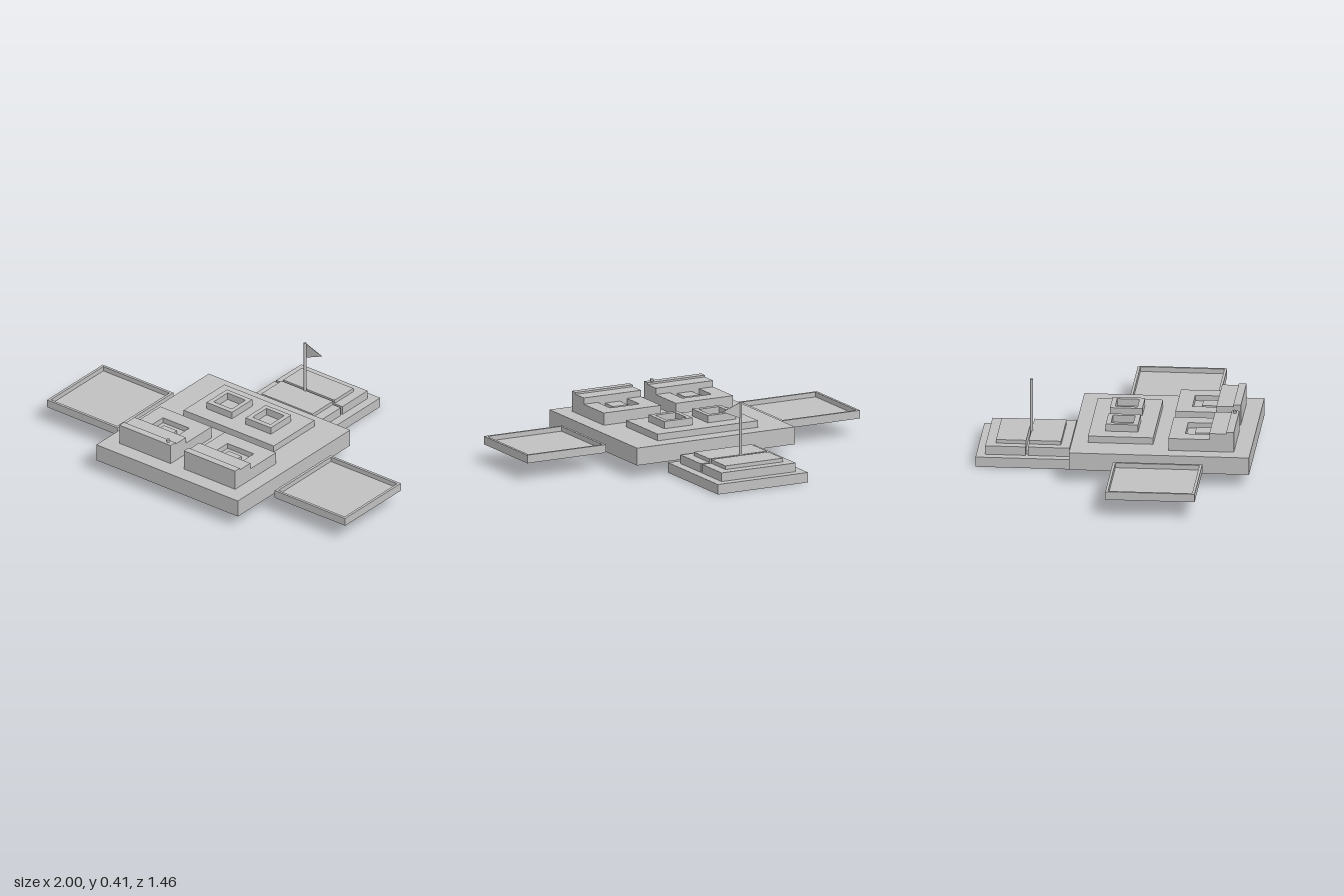
import * as THREE from 'three';

const stone = new THREE.MeshStandardMaterial({ color: 0xc0c0c0 });
stone.name = 'plain grey';

// Box from its extents
function box(parent, name, x0, x1, y0, y1, z0, z1) {
  const mesh = new THREE.Mesh(new THREE.BoxGeometry(x1 - x0, y1 - y0, z1 - z0), stone);
  mesh.position.set((x0 + x1) / 2, (y0 + y1) / 2, (z0 + z1) / 2);
  mesh.name = name;
  parent.add(mesh);
  return mesh;
}

function rect(Type, x0, x1, z0, z1) {
  return new Type([[x0, -z1], [x1, -z1], [x1, -z0], [x0, -z0]].map(([x, y]) => new THREE.Vector2(x, y)));
}

// Rectangular slab with a rectangular opening; outer and inner are [x0, x1, z0, z1]
function frame(parent, name, outer, inner, y0, y1) {
  const shape = rect(THREE.Shape, ...outer);
  shape.holes.push(rect(THREE.Path, ...inner));
  const geo = new THREE.ExtrudeGeometry(shape, { depth: y1 - y0, bevelEnabled: false });
  geo.rotateX(-Math.PI / 2);
  const mesh = new THREE.Mesh(geo, stone);
  mesh.position.y = y0;
  mesh.name = name;
  parent.add(mesh);
}

function group(parent, name) {
  const g = new THREE.Group();
  g.name = name;
  parent.add(g);
  return g;
}

export function createModel() {
  const model = new THREE.Group();
  model.name = 'courtyardModel';

  // Main platform and its raised terrace
  box(model, 'mainPlatform', -0.477, 0.472, 0.07, 0.164, -0.22, 0.73);
  box(model, 'terrace', -0.304, 0.3, 0.164, 0.2, -0.134, 0.21);

  // Two square basins on the terrace
  for (const x of [-0.134, 0.127]) {
    frame(model, 'basin', [x - 0.085, x + 0.085, -0.048, 0.123],
      [x - 0.06, x + 0.06, -0.022, 0.095], 0.2, 0.239);
  }

  // Two front blocks: notched rear deck, stepped front parapet
  for (const x of [-0.22, 0.213]) {
    const block = group(model, 'frontBlock');
    const x0 = x - 0.172, x1 = x + 0.172;
    box(block, 'blockBase', x0, x1, 0.164, 0.2, 0.297, 0.643);
    frame(block, 'notchedDeck', [x0, x1, 0.297, 0.643],
      [x - 0.088, x + 0.088, 0.38, 0.514], 0.2, 0.23);
    box(block, 'notchPlinth', x - 0.044, x + 0.044, 0.2, 0.221, 0.427, 0.514);
    box(block, 'parapetStep', x0, x1, 0.23, 0.264, 0.514, 0.643);
    box(block, 'parapetTop', x0, x1, 0.264, 0.274, 0.603, 0.643);
  }
  const knob = new THREE.Mesh(new THREE.CylinderGeometry(0.009, 0.009, 0.015, 12), stone);
  knob.position.set(-0.083, 0.281, 0.62);
  knob.name = 'parapetKnob';
  model.add(knob);

  // Shallow trays on both sides
  for (const s of [-1, 1]) {
    const tray = group(model, s > 0 ? 'leftTray' : 'rightTray');
    const x = s * 0.7635;
    box(tray, 'trayFloor', x - 0.2365, x + 0.2365, 0.094, 0.112, 0.017, 0.488);
    frame(tray, 'trayRim', [x - 0.2365, x + 0.2365, 0.017, 0.488],
      [x - 0.222, x + 0.222, 0.031, 0.474], 0.112, 0.138);
  }

  // Rear stepped base, split in two halves by a narrow channel
  const rear = group(model, 'rearBase');
  box(rear, 'rearPlinth', -0.273, 0.268, 0, 0.054, -0.73, -0.188);
  box(rear, 'rearStep', -0.225, 0.22, 0.054, 0.101, -0.683, -0.471);
  box(rear, 'rearStep', -0.225, 0.22, 0.054, 0.101, -0.457, -0.238);
  box(rear, 'rearTop', -0.177, 0.167, 0.101, 0.121, -0.63, -0.471);
  box(rear, 'rearTop', -0.177, 0.167, 0.101, 0.121, -0.457, -0.287);
  box(rear, 'channelBar', -0.2, 0.196, 0.054, 0.075, -0.471, -0.457);

  // Flagpole and pennant
  const flag = group(model, 'flag');
  const pole = new THREE.Mesh(new THREE.CylinderGeometry(0.008, 0.008, 0.354, 12), stone);
  pole.position.set(-0.019, 0.231, -0.457);
  pole.name = 'flagpole';
  flag.add(pole);
  const shape = new THREE.Shape([[-0.016, 0.32], [0.092, 0.366], [-0.016, 0.406]].map(([x, y]) => new THREE.Vector2(x, y)));
  const pennant = new THREE.Mesh(new THREE.ExtrudeGeometry(shape, { depth: 0.004, bevelEnabled: false }), stone);
  pennant.position.z = -0.461;
  pennant.name = 'pennant';
  flag.add(pennant);

  return model;
}
